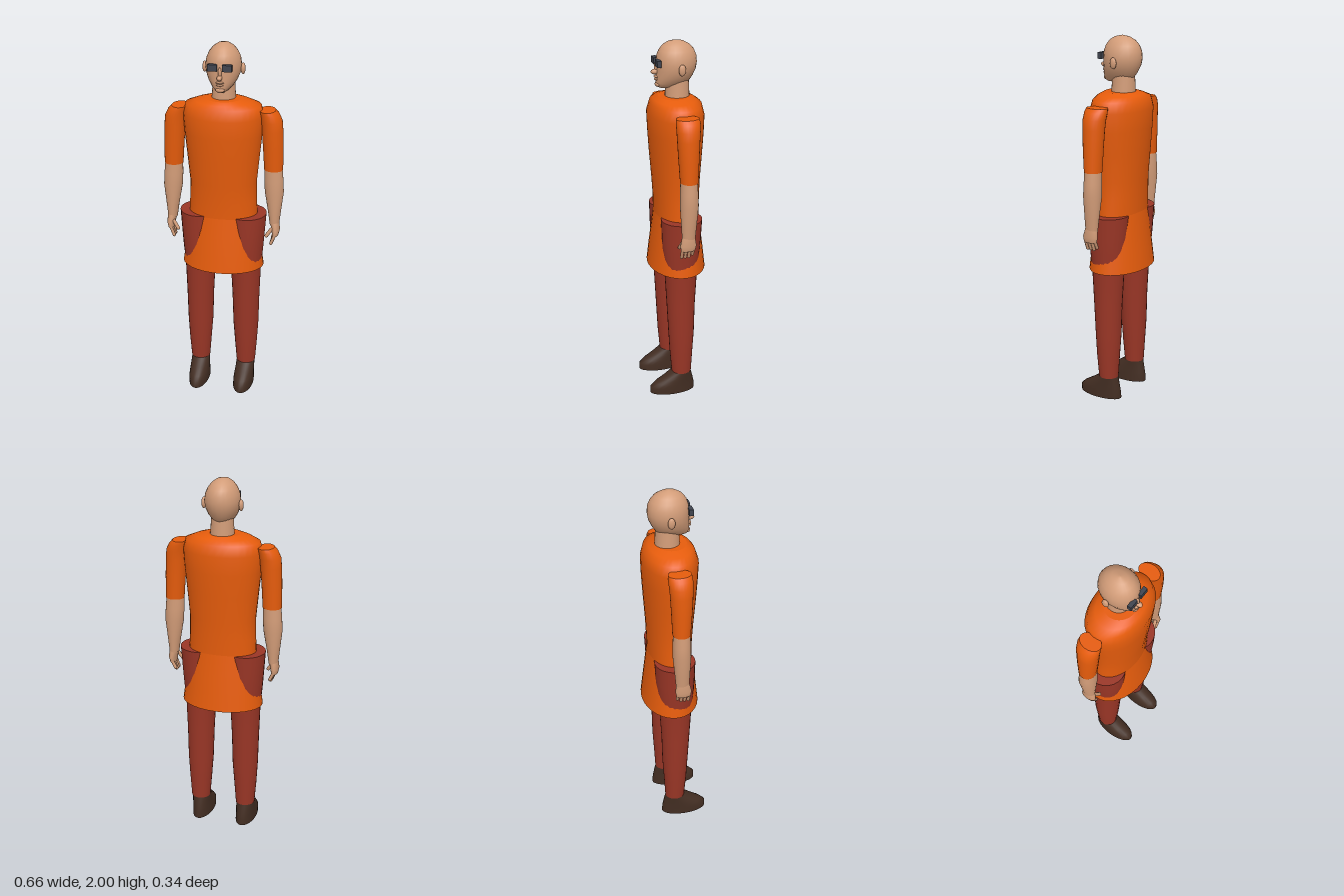
import * as THREE from 'three';

const mat = (name, color, side = THREE.FrontSide) => {
  const m = new THREE.MeshStandardMaterial({ color, side });
  m.name = name;
  return m;
};

// Skin of oval rings, bottom to top; each ring is [y, xMin, xMax, zBack, zFront]
function loft(rings, capped = true, seg = 24) {
  const pos = [], idx = [];
  const addRing = ([y, x0, x1, z0, z1]) => {
    for (let i = 0; i < seg; i++) {
      const a = (i / seg) * Math.PI * 2;
      pos.push((x0 + x1) / 2 + ((x1 - x0) / 2) * Math.sin(a), y, (z0 + z1) / 2 + ((z1 - z0) / 2) * Math.cos(a));
    }
  };
  rings.forEach(addRing);
  for (let r = 0; r < rings.length - 1; r++) {
    for (let i = 0; i < seg; i++) {
      const a = r * seg + i, b = r * seg + ((i + 1) % seg);
      idx.push(a, b, b + seg, a, b + seg, a + seg);
    }
  }
  // Flat end caps keep their own vertices so the rim stays sharp
  if (capped) {
    [rings[0], rings[rings.length - 1]].forEach((ring, end) => {
      const start = pos.length / 3;
      addRing(ring);
      pos.push((ring[1] + ring[2]) / 2, ring[0], (ring[3] + ring[4]) / 2);
      for (let i = 0; i < seg; i++) {
        const a = start + i, b = start + ((i + 1) % seg);
        if (end) idx.push(start + seg, a, b);
        else idx.push(start + seg, b, a);
      }
    });
  }
  const g = new THREE.BufferGeometry();
  g.setAttribute('position', new THREE.Float32BufferAttribute(pos, 3));
  g.setIndex(idx);
  g.computeVertexNormals();
  return g;
}

const sym = (rows) => rows.map(([y, rx, z0, z1]) => [y, -rx, rx, z0, z1]);
const onSide = (rows, s) => (s > 0 ? rows : rows.map(([y, a, b, c, d]) => [y, -b, -a, c, d]));

export function createModel() {
  const model = new THREE.Group();
  model.name = 'standingMan';
  const orange = mat('orangeCloth', 0xe65c0c);
  const orangeOpen = mat('orangeSkirtCloth', 0xe65c0c, THREE.DoubleSide);
  const red = mat('redTrousers', 0x9a3626);
  const skin = mat('skin', 0xd29c78);
  const brown = mat('brownLeather', 0x422d22);
  const dark = mat('darkLens', 0x40444f);

  const add = (name, geo, material, parent = model) => {
    const m = new THREE.Mesh(geo, material);
    m.name = name;
    parent.add(m);
    return m;
  };
  const ball = (name, material, p, r, parent) => {
    const m = add(name, new THREE.SphereGeometry(1, 14, 10), material, parent);
    m.position.set(...p);
    m.scale.set(...r);
    return m;
  };
  const rod = (name, a, b, r, parent) => {
    const from = new THREE.Vector3(...a), dir = new THREE.Vector3(...b).sub(from);
    const m = add(name, new THREE.CapsuleGeometry(r, dir.length(), 3, 8), skin, parent);
    m.position.copy(from).addScaledVector(dir, 0.5);
    m.quaternion.setFromUnitVectors(new THREE.Vector3(0, 1, 0), dir.normalize());
  };

  // Tunic body and flared skirt
  add('tunic', loft(sym([
    [1.06, 0.187, -0.13, 0.105], [1.15, 0.183, -0.132, 0.107], [1.25, 0.181, -0.136, 0.114],
    [1.4, 0.195, -0.146, 0.126], [1.52, 0.207, -0.153, 0.133], [1.62, 0.214, -0.156, 0.137],
    [1.675, 0.2, -0.142, 0.12], [1.695, 0.15, -0.115, 0.105], [1.71, 0.095, -0.085, 0.08],
  ]), true, 32), orange);
  add('skirt', loft(sym([
    [0.752, 0.225, -0.167, 0.143], [0.85, 0.212, -0.156, 0.132],
    [0.95, 0.199, -0.144, 0.119], [1.07, 0.184, -0.13, 0.104],
  ]), false, 32), orangeOpen);

  // Neck and head
  add('neck', loft(sym([[1.69, 0.065, -0.085, 0.045], [1.74, 0.061, -0.083, 0.043], [1.8, 0.058, -0.08, 0.04]])), skin);
  const head = new THREE.Group();
  head.name = 'head';
  model.add(head);
  add('skull', loft(sym([
    [1.757, 0.018, 0.02, 0.075], [1.766, 0.036, -0.05, 0.09], [1.785, 0.056, -0.08, 0.094],
    [1.815, 0.076, -0.1, 0.092], [1.85, 0.089, -0.116, 0.091], [1.885, 0.093, -0.122, 0.09],
    [1.92, 0.088, -0.119, 0.088], [1.95, 0.075, -0.107, 0.077], [1.975, 0.056, -0.085, 0.058],
    [1.992, 0.032, -0.055, 0.03], [2.0, 0.004, -0.016, -0.008],
  ])), skin, head);
  ball('nose', skin, [0, 1.842, 0.098], [0.014, 0.014, 0.022], head);
  ball('noseBridge', skin, [0, 1.866, 0.09], [0.009, 0.03, 0.012], head);
  ball('upperLip', skin, [0, 1.816, 0.092], [0.022, 0.006, 0.011], head);
  ball('lowerLip', skin, [0, 1.803, 0.092], [0.019, 0.006, 0.01], head);
  ball('chin', skin, [0, 1.776, 0.084], [0.024, 0.014, 0.014], head);

  for (const s of [1, -1]) {
    const side = s > 0 ? 'left' : 'right';
    ball(side + 'Ear', skin, [s * 0.1, 1.865, -0.02], [0.012, 0.03, 0.019], head);
    const lens = add(side + 'Lens', new THREE.BoxGeometry(0.049, 0.034, 0.022), dark, head);
    lens.position.set(s * 0.038, 1.893, 0.09);

    // Arm: sleeve, forearm and hand
    const arm = new THREE.Group();
    arm.name = side + 'Arm';
    model.add(arm);
    add('sleeve', loft(onSide([
      [1.328, 0.22, 0.321, -0.056, 0.038], [1.45, 0.212, 0.32, -0.061, 0.046],
      [1.55, 0.204, 0.316, -0.066, 0.051], [1.6, 0.198, 0.311, -0.07, 0.053],
      [1.635, 0.192, 0.294, -0.073, 0.053], [1.655, 0.19, 0.275, -0.07, 0.05],
    ], s)), orange, arm);
    add('forearm', loft(onSide([
      [1.01, 0.257, 0.308, -0.04, 0.03], [1.08, 0.247, 0.315, -0.046, 0.034],
      [1.2, 0.226, 0.328, -0.057, 0.04], [1.27, 0.222, 0.324, -0.055, 0.038],
      [1.34, 0.222, 0.317, -0.052, 0.036],
    ], s)), skin, arm);
    add('palm', loft(onSide([
      [0.95, 0.272, 0.306, -0.038, 0.038], [0.98, 0.268, 0.313, -0.045, 0.042], [1.03, 0.257, 0.308, -0.038, 0.03],
    ], s)), skin, arm);
    for (let i = 0; i < 4; i++) {
      const z = -0.029 + i * 0.0195, drop = i === 0 ? 0.012 : 0;
      rod('finger', [s * 0.292, 0.965, z], [s * 0.27, 0.907 + drop, z], 0.009, arm);
    }
    rod('thumb', [s * 0.27, 0.99, 0.025], [s * 0.245, 0.953, 0.034], 0.01, arm);

    // Leg: the hip swells out through the side of the skirt
    const leg = new THREE.Group();
    leg.name = side + 'Leg';
    model.add(leg);
    add('trouserLeg', loft(onSide([
      [0.125, 0.08, 0.187, -0.065, 0.045], [0.25, 0.07, 0.196, -0.072, 0.056],
      [0.38, 0.06, 0.203, -0.08, 0.063], [0.55, 0.055, 0.206, -0.084, 0.072],
      [0.75, 0.045, 0.212, -0.095, 0.083], [0.85, 0.038, 0.222, -0.106, 0.092],
      [0.95, 0.03, 0.229, -0.114, 0.098], [1.065, 0.022, 0.237, -0.12, 0.1],
    ], s)), red, leg);
    add('shoe', loft(onSide([
      [0, 0.073, 0.187, -0.086, 0.172], [0.035, 0.074, 0.187, -0.084, 0.172], [0.06, 0.076, 0.186, -0.079, 0.145],
      [0.09, 0.079, 0.185, -0.072, 0.095], [0.127, 0.081, 0.184, -0.062, 0.043],
    ], s)), brown, leg);
  }
  return model;
}
